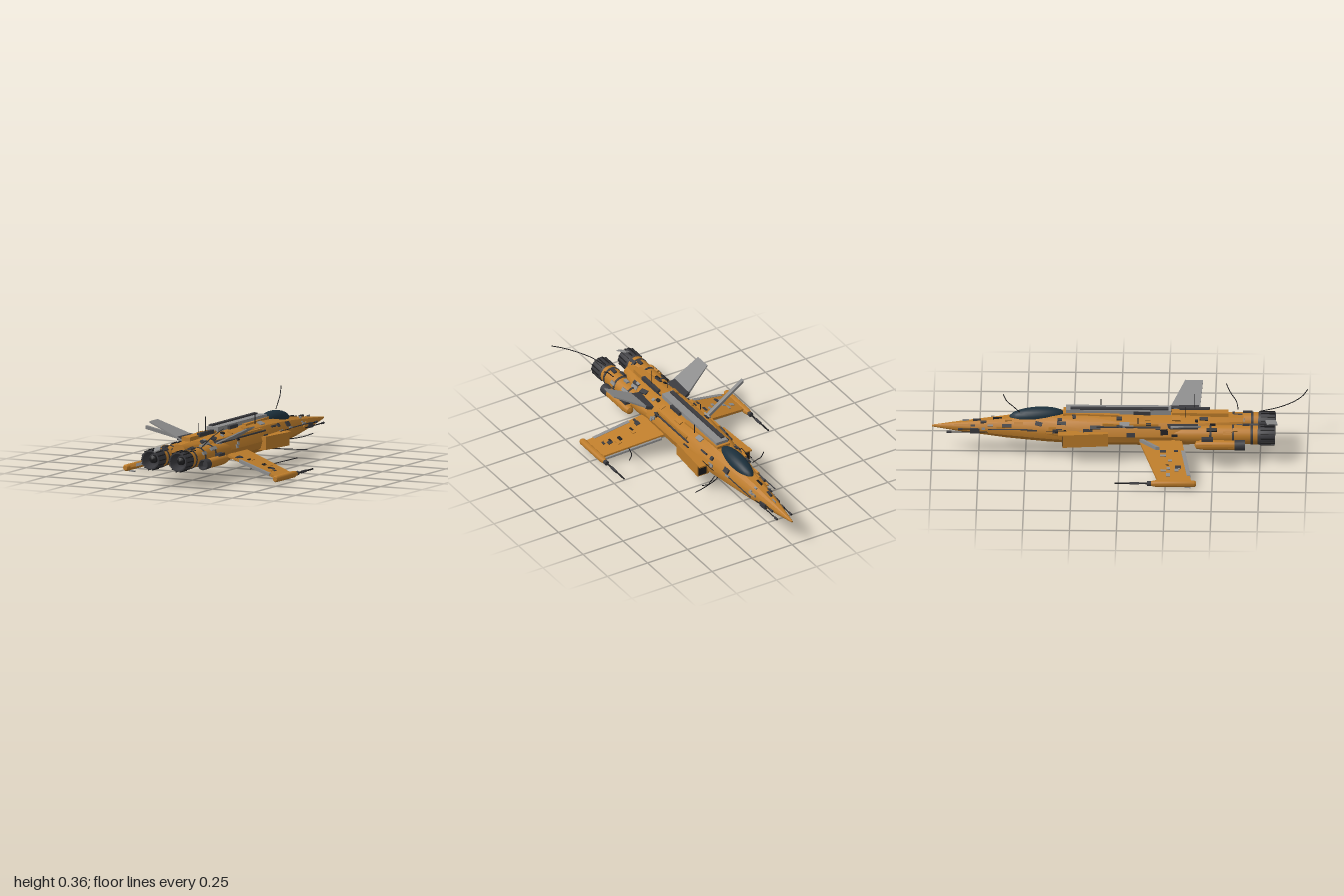
import * as THREE from 'three';
import { toCreasedNormals } from 'three/addons/utils/BufferGeometryUtils.js';
import { ConvexGeometry } from 'three/addons/geometries/ConvexGeometry.js';

const mat = (color) => new THREE.MeshStandardMaterial({ color });
const V = (x, y, z) => new THREE.Vector3(x, y, z);

export function createModel() {
  const model = new THREE.Group();
  const ochre = mat(0xbd7c2a), steel = mat(0x8c8c8c), dark = mat(0x3a3a3e), black = mat(0x1c1c1e), glass = mat(0x1c303c);
  let seed = 11;
  const rnd = (a = 0, b = 1) => {
    seed = (seed * 16807) % 2147483647;
    return a + (b - a) * (seed / 2147483647);
  };

  const add = (name, geo, material, x = 0, y = 0, z = 0) => {
    const m = new THREE.Mesh(geo, material);
    m.name = name;
    m.position.set(x, y, z);
    model.add(m);
    return m;
  };
  const box = (name, material, w, h, d, x, y, z) => add(name, new THREE.BoxGeometry(w, h, d), material, x, y, z);
  // Slab from a corner outline, thickened in y
  const slab = (name, material, pts, t) =>
    add(name, new ConvexGeometry(pts.flatMap(([x, y, z]) => [V(x, y - t / 2, z), V(x, y + t / 2, z)])), material);
  // Turned part along z, profile given as [radius, z]
  const turned = (name, material, profile, x, y, sides = 20) => {
    const g = new THREE.LatheGeometry(profile.map(([r, z]) => new THREE.Vector2(r, z)), sides);
    g.rotateX(Math.PI / 2);
    return add(name, toCreasedNormals(g, 0.6), material, x, y, 0);
  };
  const rod = (name, material, r, z0, z1, x, y) =>
    turned(name, material, [[0, z0], [r, z0], [r, z1], [0, z1]], x, y, 8);
  const cable = (name, pts, r = 0.0025) =>
    add(name, new THREE.TubeGeometry(new THREE.CatmullRomCurve3(pts.map((p) => V(...p))), 14, r, 5), black);

  // Fuselage stations: z, half width, bottom, middle, top
  const stations = [
    [-1, 0.004, 0.146, 0.15, 0.155], [-0.85, 0.028, 0.127, 0.15, 0.175], [-0.6, 0.064, 0.102, 0.15, 0.205],
    [-0.4, 0.092, 0.09, 0.15, 0.225], [-0.2, 0.118, 0.084, 0.15, 0.238], [0, 0.13, 0.083, 0.15, 0.24],
    [0.25, 0.127, 0.083, 0.148, 0.236], [0.42, 0.112, 0.085, 0.148, 0.228], [0.55, 0.078, 0.09, 0.15, 0.222],
    [0.66, 0.045, 0.1, 0.15, 0.215],
  ];
  const ringAt = (z) => {
    let i = 0;
    while (i < stations.length - 2 && stations[i + 1][0] < z) i++;
    const a = stations[i], b = stations[i + 1], k = (z - a[0]) / (b[0] - a[0]);
    const [, w, lo, mid, hi] = a.map((v, j) => v + (b[j] - v) * k);
    const up = hi - mid;
    const half = [[w, mid], [w * 0.92, mid + up * 0.42], [w * 0.72, mid + up * 0.78], [w * 0.38, hi]];
    const upper = [...half, ...half.map(([x, y]) => [-x, y]).reverse()];
    return [...upper, [-w * 0.92, mid - (mid - lo) * 0.55], [-w * 0.62, lo], [w * 0.62, lo], [w * 0.92, mid - (mid - lo) * 0.55]]
      .map(([x, y]) => V(x, y, z));
  };
  const rings = stations.map((s) => ringAt(s[0])), tri = [];
  const put = (...vs) => vs.forEach((v) => tri.push(v.x, v.y, v.z));
  const n = rings[0].length;
  for (let i = 0; i < n; i++) {
    const k = (i + 1) % n;
    for (let j = 0; j < rings.length - 1; j++) {
      const [a, b, c, d] = [rings[j][i], rings[j][k], rings[j + 1][k], rings[j + 1][i]];
      put(a, b, c, a, c, d);
    }
    const end = rings[rings.length - 1];
    put(V(0, 0.15, -1.0), rings[0][k], rings[0][i]);
    put(V(0, 0.15, 0.66), end[i], end[k]);
  }
  const hull = new THREE.BufferGeometry();
  hull.setAttribute('position', new THREE.Float32BufferAttribute(tri, 3));
  add('fuselage', toCreasedNormals(hull, 0.45), ochre);

  // Canopy with a rear fairing
  const canopy = add('canopy', new THREE.SphereGeometry(1, 20, 12), glass, 0, 0.214, -0.44);
  canopy.scale.set(0.047, 0.047, 0.15);
  canopy.rotation.x = -0.08;
  slab('canopyFairing', ochre, [[-0.04, 0.235, -0.3], [0.04, 0.235, -0.3], [0.06, 0.235, 0.0], [-0.06, 0.235, 0.0]], 0.022);

  // Dorsal spine and its blocks
  box('dorsalSpine', steel, 0.07, 0.025, 0.56, 0, 0.25, -0.005);
  box('spineRail', dark, 0.022, 0.012, 0.52, -0.018, 0.265, 0);
  box('spineBlock', dark, 0.09, 0.022, 0.09, 0.005, 0.245, 0.12);
  box('spineTail', ochre, 0.05, 0.022, 0.3, 0, 0.234, 0.43);
  box('spinePipe', dark, 0.02, 0.02, 0.16, 0.025, 0.245, 0.4);

  // Belly panels
  box('bellyPanel', dark, 0.085, 0.008, 0.32, 0, 0.084, -0.2);
  box('bellyHatch', steel, 0.05, 0.01, 0.14, 0, 0.08, -0.27);
  slab('bellyKeel', ochre, [[-0.075, 0.088, -0.02], [0.075, 0.088, -0.02], [0.06, 0.092, 0.5], [-0.06, 0.092, 0.5]], 0.014);

  for (const s of [-1, 1]) {
    // Main engines with open nozzles
    const ex = s * 0.083;
    turned('mainEngine', ochre, [[0, 0.2], [0.03, 0.22], [0.05, 0.36], [0.051, 0.74], [0, 0.74]], ex, 0.148);
    for (const z of [0.48, 0.6, 0.7]) turned('engineBand', dark, [[0.05, z], [0.0535, z], [0.0535, z + 0.012], [0.05, z + 0.012]], ex, 0.148);
    turned('mainNozzle', dark, [[0, 0.73], [0.049, 0.73], [0.054, 0.75], [0.052, 0.83], [0.045, 0.83], [0.03, 0.78], [0, 0.78]], ex, 0.148);
    turned('nozzleCore', black, [[0, 0.77], [0.022, 0.77], [0.02, 0.8], [0, 0.81]], ex, 0.148);
    for (let i = 0; i < 14; i++) {
      const a = (i / 14) * Math.PI * 2;
      const rib = box('nozzleRib', black, 0.006, 0.005, 0.075, ex + Math.cos(a) * 0.054, 0.148 + Math.sin(a) * 0.054, 0.79);
      rib.rotation.z = a;
    }

    // Secondary engines
    const sx = s * 0.15;
    turned('sideEngine', ochre, [[0, 0.4], [0.02, 0.41], [0.026, 0.45], [0.026, 0.62], [0, 0.62]], sx, 0.117, 16);
    turned('sideNozzle', dark, [[0, 0.615], [0.027, 0.615], [0.029, 0.67], [0.022, 0.67], [0.015, 0.64], [0, 0.64]], sx, 0.117, 16);
    box('sideEngineMount', ochre, 0.05, 0.024, 0.16, s * 0.12, 0.125, 0.51);
    box('sideEngineBlock', dark, 0.028, 0.016, 0.06, s * 0.148, 0.148, 0.47);

    // Side intakes
    add('intake', new ConvexGeometry([-0.3, -0.06].flatMap((z, i) => [0.1, 0.172].flatMap((y) =>
      [V(s * 0.09, y, z), V(s * (i ? 0.148 : 0.163), y + (i ? 0.004 : 0), z)]))), ochre);
    box('intakeMouth', black, 0.05, 0.058, 0.006, s * 0.133, 0.136, -0.301);
    box('intakeLip', ochre, 0.06, 0.008, 0.03, s * 0.133, 0.17, -0.31);
    rod('intakeProbe', black, 0.002, -0.39, -0.28, s * 0.12, 0.175);

    // Drooping wings with tip pods and guns
    slab('wing', ochre, [[s * 0.1, 0.128, 0.1], [s * 0.45, 0.03, 0.215], [s * 0.45, 0.03, 0.39], [s * 0.25, 0.086, 0.355], [s * 0.1, 0.128, 0.33]], 0.013);
    slab('wingFlap', steel, [[s * 0.2, 0.1, 0.33], [s * 0.4, 0.044, 0.365], [s * 0.4, 0.044, 0.385], [s * 0.2, 0.1, 0.352]], 0.016);
    turned('tipPod', ochre, [[0, 0.175], [0.013, 0.175], [0.018, 0.2], [0.018, 0.405], [0.012, 0.415], [0, 0.415]], s * 0.45, 0.028, 14);
    rod('gunCollar', dark, 0.013, 0.155, 0.19, s * 0.45, 0.028);
    rod('gunBarrel', black, 0.0045, -0.02, 0.16, s * 0.45, 0.028);
    rod('gunSleeve', dark, 0.0075, 0.06, 0.11, s * 0.45, 0.028);

    // Canted tail fins
    slab('tailFin', steel, [[s * 0.09, 0.195, 0.255], [s * 0.13, 0.207, 0.27], [s * 0.292, 0.29, 0.345], [s * 0.292, 0.29, 0.44], [s * 0.1, 0.198, 0.425]], 0.008);
    slab('finRoot', dark, [[s * 0.08, 0.2, 0.25], [s * 0.135, 0.21, 0.27], [s * 0.135, 0.21, 0.42], [s * 0.08, 0.2, 0.42]], 0.018);

    // Nose guns and cheek rods
    for (const [dx, y, z0] of [[0.045, 0.135, -0.92], [0.036, 0.148, -0.86]]) {
      rod('noseGun', black, 0.003, z0, -0.7, s * dx, y);
      rod('noseGunTip', dark, 0.006, z0, z0 + 0.025, s * dx, y);
      box('noseGunMount', dark, 0.016, 0.014, 0.05, s * 0.04, y, -0.77);
    }
    rod('cheekRod', dark, 0.003, -0.7, -0.4, s * 0.077, 0.165);
    box('shoulderDuct', ochre, 0.03, 0.02, 0.3, s * 0.092, 0.205, 0.06);
    rod('shoulderPipe', dark, 0.005, -0.12, 0.22, s * 0.112, 0.2);
  }

  // Leading-edge slats: one bent upward, one in place
  slab('raisedSlat', steel, [[-0.15, 0.14, 0.11], [-0.43, 0.224, 0.2], [-0.43, 0.224, 0.22], [-0.15, 0.14, 0.13]], 0.018);
  slab('slat', steel, [[0.14, 0.108, 0.1], [0.45, 0.02, 0.205], [0.45, 0.02, 0.225], [0.14, 0.108, 0.125]], 0.012);
  box('loosePodPlate', steel, 0.055, 0.004, 0.03, -0.445, 0.01, 0.37).rotation.z = -0.15;
  box('looseNozzlePlate', steel, 0.035, 0.006, 0.06, -0.05, 0.205, 0.81).rotation.set(0.2, 0.4, 0.3);

  // Antennas and trailing cables
  cable('canopyCable', [[-0.04, 0.25, -0.53], [-0.045, 0.29, -0.57], [-0.05, 0.32, -0.6], [-0.055, 0.365, -0.62]]);
  cable('rearCable', [[0.1, 0.2, 0.74], [0.13, 0.21, 0.84], [0.18, 0.22, 0.92], [0.23, 0.232, 0.97], [0.283, 0.247, 0.998]]);
  cable('sideEngineCable', [[0.12, 0.2, 0.63], [0.15, 0.235, 0.62], [0.18, 0.27, 0.59], [0.222, 0.304, 0.565]]);
  cable('intakeCable', [[0.1, 0.12, -0.37], [0.15, 0.125, -0.41], [0.18, 0.132, -0.435], [0.228, 0.15, -0.45]]);
  cable('bellyCable', [[-0.03, 0.076, -0.25], [0.06, 0.072, -0.33], [0.15, 0.07, -0.365], [0.228, 0.07, -0.385]]);
  cable('rightWingCable', [[0.21, 0.045, 0.24], [0.29, 0.065, 0.2], [0.33, 0.075, 0.1], [0.385, 0.09, 0.035]]);
  cable('leftWingCable', [[-0.33, 0.08, 0.27], [-0.27, 0.062, 0.22], [-0.2, 0.045, 0.2]]);
  for (const [x, y0, y1, z] of [[0.025, 0.24, 0.335, 0.4], [-0.045, 0.23, 0.29, 0.35], [-0.1, 0.2, 0.25, 0.1], [0.06, 0.23, 0.285, -0.1]])
    box('antenna', black, 0.003, y1 - y0, 0.003, x, (y0 + y1) / 2, z);

  // Small plates and blocks scattered over the hull
  const paints = [steel, dark, dark, ochre, steel, black];
  for (let i = 0; i < 75; i++) {
    const z = rnd(-0.82, 0.5), ring = ringAt(z), e = Math.floor(rnd(0, 7));
    const edge = ring[e + 1].clone().sub(ring[e]);
    const p = ring[e].clone().addScaledVector(edge, rnd(0.2, 0.8));
    const k = Math.min(1, ring[0].x / 0.09);
    const b = box('hullGreeble', paints[i % 6], rnd(0.008, 0.03) * k, rnd(0.008, 0.018), rnd(0.015, 0.06), p.x, p.y, p.z);
    b.rotation.set(0, 0, Math.atan2(edge.y, edge.x));
    if (i % 5 === 0) b.rotateY(rnd(-0.5, 0.5));
  }
  // Fittings on the wings and engines
  for (let i = 0; i < 20; i++) {
    const s = i % 2 ? 1 : -1, x = rnd(0.16, 0.4);
    const b = box('wingFitting', paints[i % 6], rnd(0.01, 0.025), 0.02, rnd(0.012, 0.04), s * x, 0.156 - x * 0.28, rnd(0.13 + x * 0.28, 0.33));
    b.rotation.z = -s * 0.27;
    const a = rnd(0.2, 2.9);
    const c = box('engineFitting', paints[(i + 1) % 6], 0.018, 0.012, rnd(0.02, 0.07), s * 0.083 + Math.cos(a) * 0.053, 0.148 + Math.sin(a) * 0.053, rnd(0.45, 0.72));
    c.rotation.z = a - Math.PI / 2;
  }
  return model;
}
